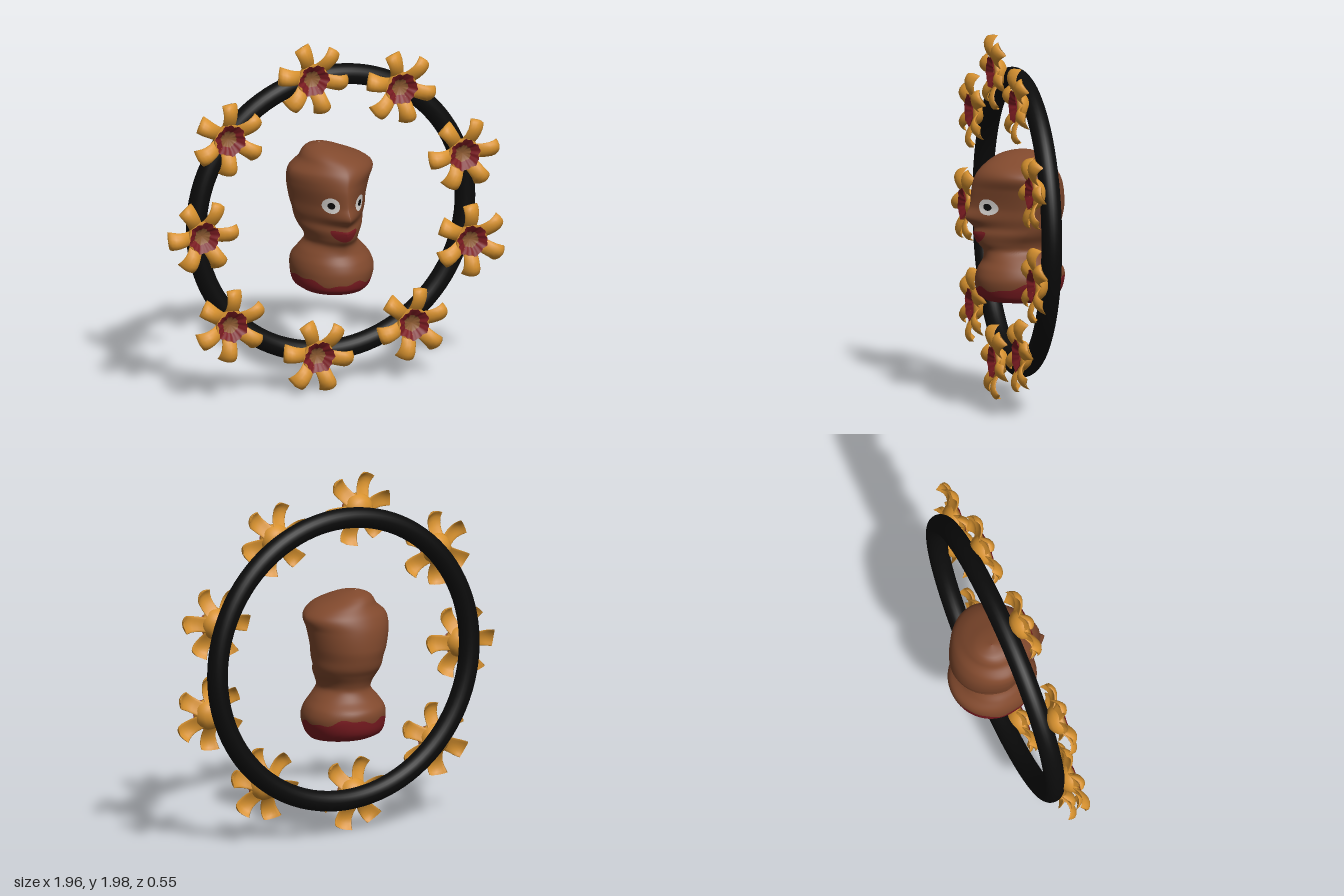
import * as THREE from 'three';

const mat = (name, color, side = THREE.FrontSide) => {
  const m = new THREE.MeshStandardMaterial({ color, side });
  m.name = name;
  return m;
};

// Surface from closed loops: fn(i, j) gives point j of loop i
function loft(loops, n, fn) {
  const pos = [], idx = [];
  for (let i = 0; i < loops; i++) for (let j = 0; j < n; j++) pos.push(...fn(i, j));
  for (let i = 0; i < loops - 1; i++) for (let j = 0; j < n; j++) {
    const k = (j + 1) % n, a = i * n + j, b = a + n, c = i * n + k, d = c + n;
    idx.push(a, b, c, b, d, c);
  }
  const g = new THREE.BufferGeometry();
  g.setAttribute('position', new THREE.Float32BufferAttribute(pos, 3));
  g.setIndex(idx);
  g.computeVertexNormals();
  return g;
}

// Bust sections: y, right x, left x, front z, back z, roundness of the front
const SECTIONS = [
  [0.59, -0.155, 0.19, 0.16, -0.18, 2],
  [0.62, -0.195, 0.215, 0.2, -0.24, 2],
  [0.70, -0.21, 0.24, 0.215, -0.27, 2],
  [0.76, -0.203, 0.225, 0.2, -0.265, 2],
  [0.81, -0.175, 0.185, 0.17, -0.215, 2],
  [0.86, -0.137, 0.143, 0.17, -0.19, 1.8],
  [0.90, -0.145, 0.15, 0.2, -0.198, 1.6],
  [0.95, -0.175, 0.178, 0.222, -0.225, 1.4],
  [0.99, -0.19, 0.19, 0.225, -0.25, 1.3],
  [1.04, -0.203, 0.2, 0.27, -0.265, 1.18],
  [1.10, -0.217, 0.21, 0.246, -0.275, 1.28],
  [1.20, -0.233, 0.228, 0.235, -0.268, 1.45],
  [1.27, -0.225, 0.243, 0.215, -0.243, 1.6],
  [1.32, -0.172, 0.185, 0.17, -0.205, 1.8],
  [1.36, -0.145, 0.09, 0.1, -0.17, 2],
  [1.385, -0.11, 0.02, 0.03, -0.13, 2],
  [1.398, -0.052, -0.048, -0.06, -0.064, 2],
];

// Smooth interpolation of the sections at height y
function section(y) {
  const S = SECTIONS, last = S.length - 1;
  let i = 0;
  while (i < last - 1 && y > S[i + 1][0]) i++;
  const h = S[i + 1][0] - S[i][0], t = THREE.MathUtils.clamp((y - S[i][0]) / h, 0, 1);
  const slope = (k, c) => {
    const a = S[Math.max(k - 1, 0)], b = S[Math.min(k + 1, last)];
    return (b[c] - a[c]) / (b[0] - a[0]);
  };
  const v = [1, 2, 3, 4, 5].map(c =>
    (1 + 2 * t) * (1 - t) ** 2 * S[i][c] + t * (1 - t) ** 2 * h * slope(i, c) +
    t * t * (3 - 2 * t) * S[i + 1][c] + t * t * (t - 1) * h * slope(i + 1, c));
  const [x0, x1, zf, zb, p] = v;
  return { xc: (x0 + x1) / 2, hw: (x1 - x0) / 2, zc: zb + (zf - zb) * 0.45, zf, zb, p };
}

function frontZ(x, y) {
  const s = section(y), u = Math.min(Math.abs(x - s.xc) / s.hw, 1);
  return s.zc + (s.zf - s.zc) * (1 - u ** s.p) ** (1 / s.p);
}

// Thin painted patch lying on the face; outline(angle) gives x and y offsets
function facePatch(cx, cy, lift, outline) {
  return loft(7, 32, (i, j) => {
    const [ox, oy] = outline(j / 32 * Math.PI * 2), k = i / 6;
    const x = cx + ox * k, y = cy + oy * k;
    return [x, y, frontZ(x, y) + lift];
  });
}

function bustGeometry() {
  const n = 96, low = 10, high = 80;
  const g = loft(low + high + 2, n, (i, j) => {
    const a = j / n * Math.PI * 2, c = Math.cos(a), s = Math.sin(a);
    // Ragged edge of the red base
    const edge = 0.685 - 0.03 * s + 0.012 * Math.sin(5 * a + 1) + 0.007 * Math.sin(11 * a);
    const r = i - 1;
    const y = r <= 0 ? 0.59 : r <= low ? 0.59 + (edge - 0.59) * r / low
      : edge + (1.398 - edge) * (r - low) / high;
    const q = section(y), e = s > 0 ? 2 / q.p : 1, k = i === 0 ? 0 : 1;
    const depth = s > 0 ? q.zf - q.zc : q.zc - q.zb;
    return [q.xc + k * q.hw * Math.sign(c) * Math.abs(c) ** e, y,
      q.zc + k * depth * Math.sign(s) * Math.abs(s) ** e];
  });
  const split = (low + 1) * n * 6;
  g.addGroup(0, split, 0);
  g.addGroup(split, high * n * 6, 1);
  return g;
}

// One petal along +x: arched, slightly twisted band with a blunt, curled tip
function petalGeometry() {
  const path = [[0.055, 0.053, 0.036], [0.085, 0.074, 0.04], [0.115, 0.092, 0.041], [0.145, 0.1, 0.043],
    [0.17, 0.099, 0.046], [0.19, 0.09, 0.048], [0.203, 0.078, 0.048], [0.205, 0.076, 0.001]];
  return loft(path.length, 16, (i, j) => {
    const [r, z, w] = path[i], a = j / 16 * Math.PI * 2;
    const y = w * Math.cos(a), thick = i === path.length - 1 ? 0.001 : 0.011;
    const twist = 0.3 * (r - 0.055) / 0.15;
    return [r - 4 * y * y, y, z - 9 * y * y - thick * Math.sin(a) + y * twist];
  });
}

// Hollow flower heart: brown middle, red ragged ring
function heartGeometry() {
  const rings = [[0, 0.05], [0.025, 0.053], [0.045, 0.063], [0.062, 0.08], [0.085, 0.094]], n = 48;
  const g = loft(rings.length, n, (i, j) => {
    const a = j / n * Math.PI * 2;
    const wob = i < 2 ? 1 : 1 + 0.06 * Math.sin(6 * a) + 0.05 * Math.sin(13 * a + 1);
    const r = rings[i][0] * wob;
    return [r * Math.cos(a), r * Math.sin(a), rings[i][1]];
  });
  g.addGroup(0, 2 * n * 6, 0);
  g.addGroup(2 * n * 6, 2 * n * 6, 1);
  return g;
}

export function createModel() {
  const skin = mat('brown skin', 0x81492d), red = mat('dark red', 0x7d1c22, THREE.DoubleSide);
  const gold = mat('golden petal', 0xd8922f), black = mat('black', 0x0b0b0b);
  const white = mat('eye white', 0xdedad6), heart = mat('flower heart brown', 0x8f5c33, THREE.DoubleSide);
  const model = new THREE.Group();
  const add = (parent, name, geo, material) => {
    const m = new THREE.Mesh(geo, material);
    m.name = name;
    parent.add(m);
    return m;
  };

  // Ring
  add(model, 'ring', new THREE.TorusGeometry(0.783, 0.056, 24, 96), black).position.set(0, 1.005, -0.018);

  // Bust with face
  const bust = new THREE.Group();
  bust.name = 'bust';
  model.add(bust);
  add(bust, 'head', bustGeometry(), [red, skin]);
  const oval = (rx, ry) => a => [rx * Math.cos(a), ry * Math.sin(a)];
  for (const [side, x, y] of [['right', -0.081, 1.114], ['left', 0.092, 1.106]]) {
    add(bust, side + 'Eye', facePatch(x, y, 0.004, oval(0.038, 0.044)), white);
    add(bust, side + 'Pupil', facePatch(x, y, 0.008, oval(0.016, 0.019)), black);
  }
  add(bust, 'lips', facePatch(-0.003, 0.945, 0.005, a =>
    [0.074 * Math.cos(a), 0.032 * Math.sin(a) + 0.012 * Math.cos(2 * a)]), red);

  // Flowers around the ring: x, y, turn in degrees
  const profile = [[0, 0], [0.03, 0.003], [0.058, 0.017], [0.078, 0.04], [0.089, 0.07], [0.086, 0.088], [0.06, 0.073]];
  const bulbGeo = new THREE.LatheGeometry(profile.map(p => new THREE.Vector2(...p)), 32).rotateX(Math.PI / 2);
  const petalGeo = petalGeometry(), heartGeo = heartGeometry();
  const spots = [[-0.143, 1.805, 48], [0.37, 1.695, 43], [0.737, 1.273, 5], [0.78, 0.778, 30], [0.44, 0.345, 16],
    [-0.112, 0.228, 49], [-0.618, 0.466, 24], [-0.782, 0.99, 1], [-0.63, 1.525, 28]];
  for (const [x, y, turn] of spots) {
    const flower = new THREE.Group();
    flower.name = 'flower';
    flower.position.set(x, y, 0.006);
    flower.rotation.z = THREE.MathUtils.degToRad(turn);
    add(flower, 'bulb', bulbGeo, gold);
    add(flower, 'heart', heartGeo, [heart, red]);
    for (let k = 0; k < 6; k++) add(flower, 'petal', petalGeo, gold).rotation.z = k * Math.PI / 3;
    model.add(flower);
  }
  return model;
}
